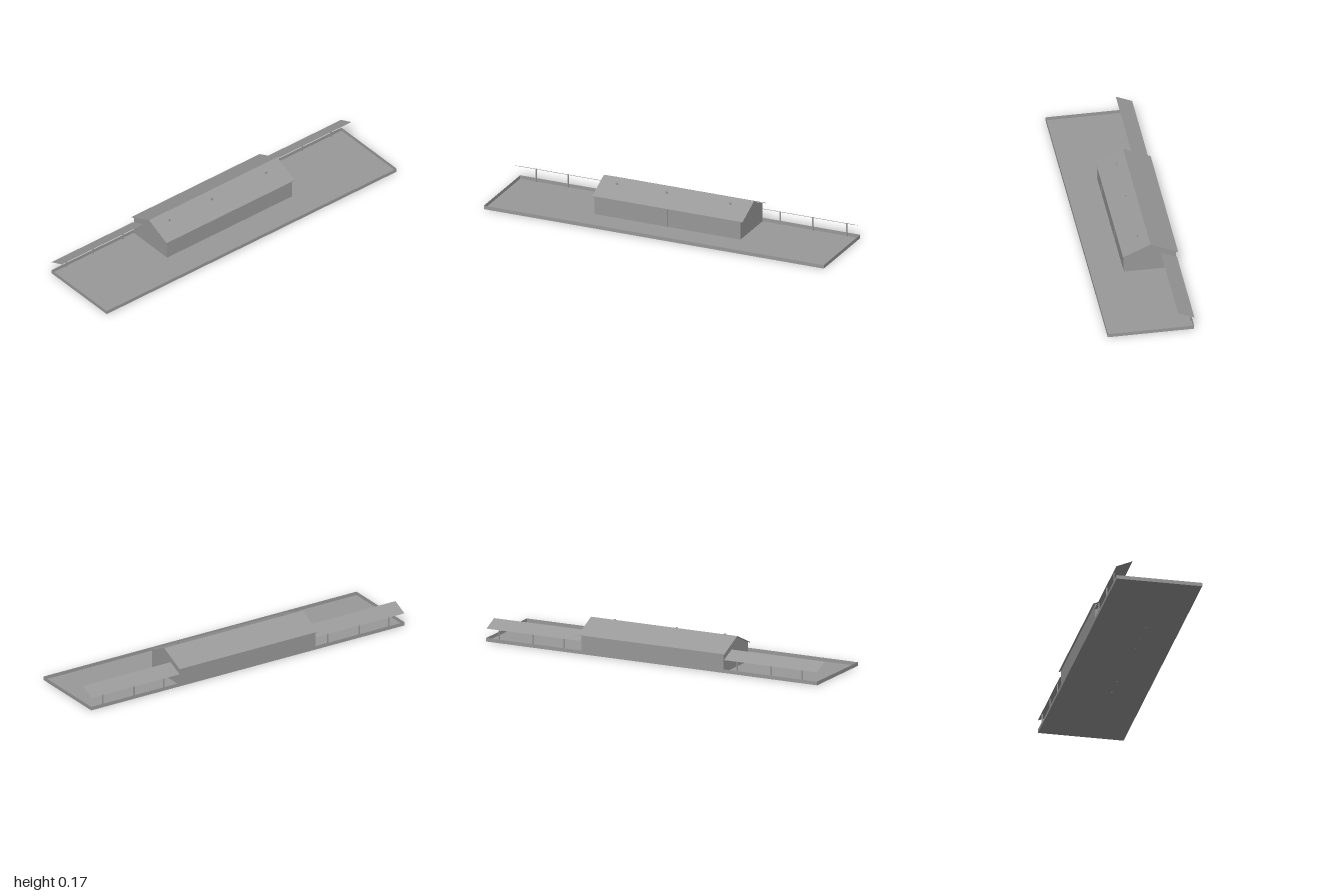
import * as THREE from 'three';

const solid = new THREE.MeshStandardMaterial({ color: 0x999999, flatShading: true });
const sheet = new THREE.MeshStandardMaterial({ color: 0x999999, flatShading: true, side: THREE.DoubleSide });

export function createModel() {
  const model = new THREE.Group();
  const add = (name, geometry, material = solid) => {
    const mesh = new THREE.Mesh(geometry, material);
    mesh.name = name;
    model.add(mesh);
    return mesh;
  };
  const box = (name, x0, x1, y0, y1, z0, z1) =>
    add(name, new THREE.BoxGeometry(x1 - x0, y1 - y0, z1 - z0)
      .translate((x0 + x1) / 2, (y0 + y1) / 2, (z0 + z1) / 2));
  // Extrude a [z, y] outline along x
  const extrudeX = (name, points, x0, x1) => {
    const shape = new THREE.Shape(points.map(([z, y]) => new THREE.Vector2(z, y)));
    return add(name, new THREE.ExtrudeGeometry(shape, { depth: x1 - x0, bevelEnabled: false })
      .rotateY(-Math.PI / 2).translate(x1, 0, 0));
  };
  // Flat sheet spanning x0..x1 between two [z, y] points
  const slopedSheet = (name, x0, x1, [za, ya], [zb, yb]) => {
    const length = Math.hypot(zb - za, yb - ya);
    return add(name, new THREE.PlaneGeometry(x1 - x0, length)
      .rotateX(Math.atan2(zb - za, yb - ya))
      .translate((x0 + x1) / 2, (ya + yb) / 2, (za + zb) / 2), sheet);
  };

  // Platform: shallow open tray with a thin rim
  const floor = 0.001, rim = 0.021, front = 0.239, back = -0.229;
  slopedSheet('platformFloor', -1, 1, [front, floor], [back, floor]);
  slopedSheet('platformFrontRim', -1, 1, [front, floor], [front, rim]);
  slopedSheet('platformBackRim', -1, 1, [back, floor], [back, rim]);
  for (const x of [-1, 1]) {
    add('platformEndRim', new THREE.PlaneGeometry(front - back, rim - floor)
      .rotateY(Math.PI / 2).translate(x, (floor + rim) / 2, (front + back) / 2), sheet);
  }

  // Main building with gabled ends
  extrudeX('buildingWalls',
    [[0.055, floor], [0.055, 0.106], [-0.087, 0.17], [-0.227, 0.106], [-0.227, floor]], -0.433, 0.426);

  // Gabled roof, two thin slabs meeting at the ridge
  extrudeX('roof',
    [[0.062, 0.104], [-0.087, 0.1705], [-0.237, 0.104], [-0.237, 0.1065], [-0.087, 0.1735], [0.062, 0.1065]],
    -0.443, 0.441);

  // Front pilasters, standing just proud of the wall
  for (const x of [-0.428, -0.283, -0.15, -0.008, 0.134, 0.28, 0.422]) {
    box('frontPilaster', x - 0.003, x + 0.003, 0, 0.107, 0.046, 0.056);
  }

  // Small round discs standing on the front roof slope
  for (const x of [-0.343, -0.05, 0.323]) {
    add('roofDisc', new THREE.CylinderGeometry(0.007, 0.007, 0.005, 16)
      .rotateX(Math.PI / 2).translate(x, 0.157, -0.037));
  }

  // Side canopies rising toward the front, each on a row of posts
  const canopies = [
    { x0: -1, x1: -0.438, posts: [-0.903, -0.716, -0.515] },
    { x0: 0.437, x1: 0.998, posts: [0.534, 0.723, 0.923] },
  ];
  for (const { x0, x1, posts } of canopies) {
    slopedSheet('canopyRoof', x0, x1, [-0.231, 0.073], [-0.142, 0.111]);
    for (const x of posts) box('canopyPost', x - 0.003, x + 0.003, floor, 0.077, -0.226, -0.22);
  }

  return model;
}
